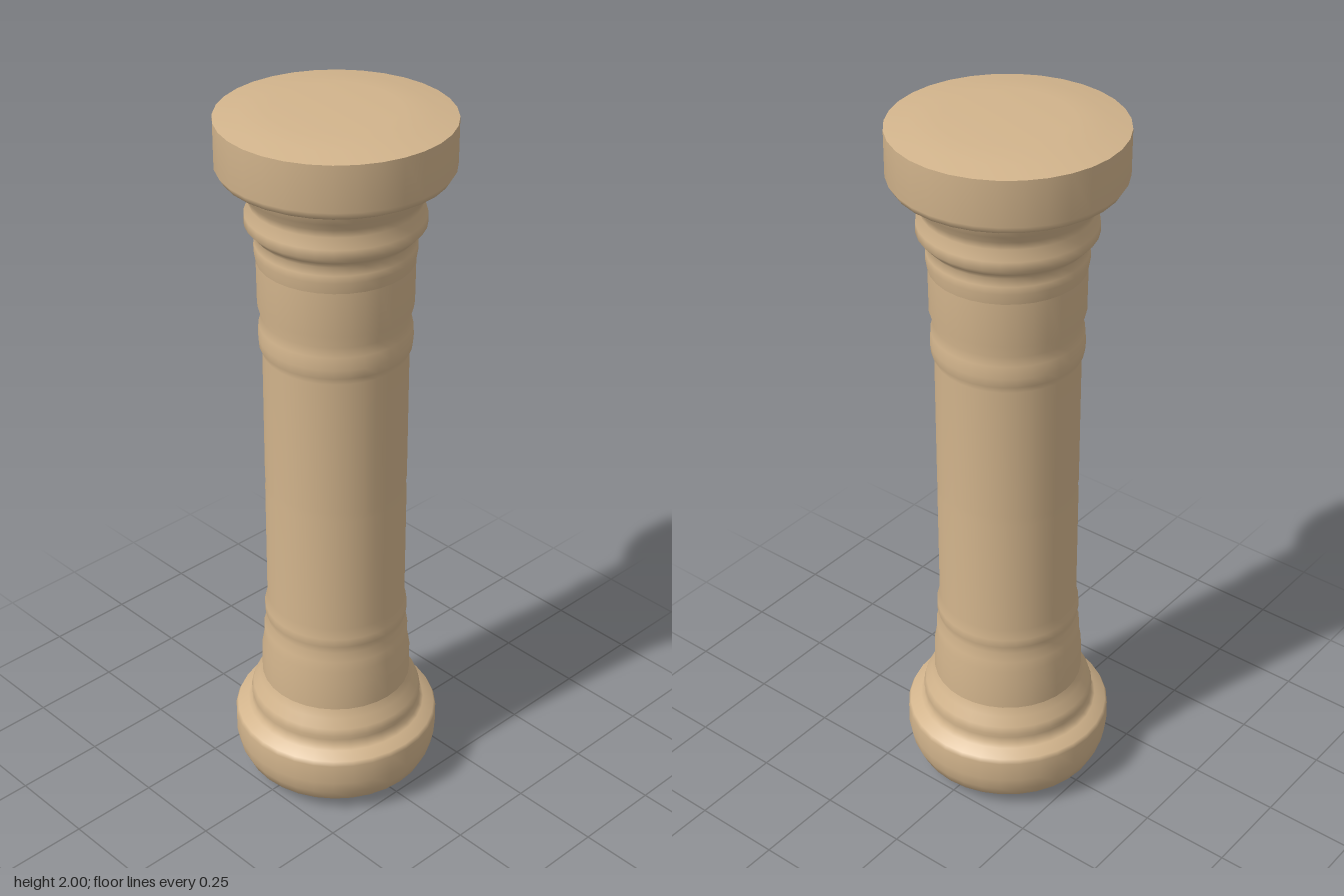
import * as THREE from 'three';

export function createModel() {
  const group = new THREE.Group();
  group.name = 'column';
  const stone = new THREE.MeshStandardMaterial({ color: 0xd2b48c });
  stone.name = 'tan stone';

  // Turns a [radius, height] profile, listed from bottom to top
  const turn = (name, profile) => {
    const points = profile.map(([r, y]) => new THREE.Vector2(r, y));
    const mesh = new THREE.Mesh(new THREE.LatheGeometry(points, 32), stone);
    mesh.name = name;
    group.add(mesh);
  };

  // Rounded foot with a shallow dished-out underside
  turn('base', [
    [0, 0], [0.1, 0.002], [0.235, 0.025], [0.262, 0.045], [0.278, 0.08], [0.286, 0.12],
    [0.286, 0.18], [0.28, 0.193], [0.25, 0.208], [0.24, 0.216], [0.236, 0.235],
    [0.24, 0.25], [0.234, 0.27], [0.217, 0.295], [0.208, 0.32],
  ]);

  // Slender shaft with ring mouldings and a joint at mid height
  turn('shaft', [
    [0.208, 0.32], [0.207, 0.4], [0.2, 0.44], [0.2, 0.475], [0.19, 0.5], [0.197, 0.525],
    [0.197, 0.55], [0.19, 0.58], [0.19, 0.925], [0.187, 0.94], [0.19, 0.955], [0.19, 1.34],
    [0.198, 1.36], [0.2, 1.385], [0.198, 1.42], [0.191, 1.445], [0.201, 1.48], [0.202, 1.6],
  ]);

  // Flaring neck
  turn('neck', [
    [0.202, 1.6], [0.207, 1.63], [0.206, 1.65], [0.199, 1.67], [0.215, 1.688],
    [0.23, 1.705], [0.229, 1.73], [0.217, 1.758], [0.223, 1.78], [0.236, 1.8], [0.243, 1.818],
  ]);

  // Heavy round cap, its side creased against the sloping top
  turn('capitalRim', [
    [0.243, 1.818], [0.265, 1.828], [0.288, 1.84], [0.3, 1.86], [0.3, 1.98],
  ]);
  turn('capitalTop', [[0.3, 1.98], [0.24, 1.99], [0.16, 2], [0, 2]]);

  return group;
}
